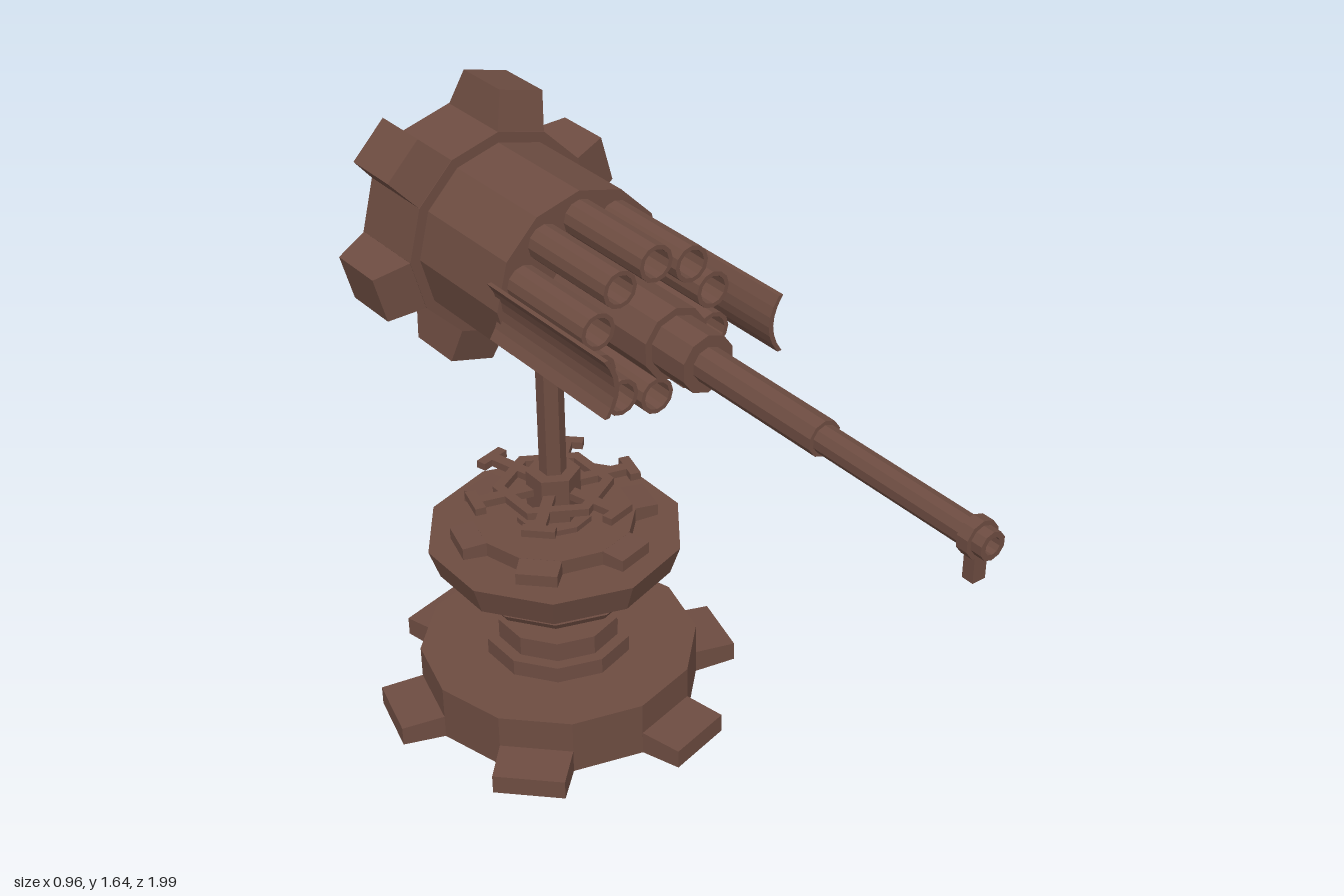
import * as THREE from 'three';

const material = new THREE.MeshStandardMaterial({ color: 0x6d4c41, flatShading: true });
const PIVOT_Z = -0.513; // pedestal axis
const AXIS_Y = 1.285;   // gun axis

function add(parent, name, geometry) {
  const mesh = new THREE.Mesh(geometry, material);
  mesh.name = name;
  parent.add(mesh);
  return mesh;
}

// Faceted solid of revolution about y, from [radius, height] pairs
function turned(parent, name, sides, profile) {
  const points = profile.map(([r, y]) => new THREE.Vector2(r, y));
  return add(parent, name, new THREE.LatheGeometry(points, sides));
}

function drum(parent, name, sides, radius, y0, y1) {
  return turned(parent, name, sides, [[0, y0], [radius, y0], [radius, y1], [0, y1]]);
}

// Pipe that is open at its top end down to a given depth
function pipe(parent, name, sides, outer, inner, y0, y1, depth) {
  return turned(parent, name, sides, [
    [0, y0], [outer, y0], [outer, y1], [inner, y1], [inner, y1 - depth], [0, y1 - depth]]);
}

// Six tapered teeth standing on every other face of a 12-sided wheel
function teeth(parent, name, radius, tip, y0, y1, inset, tipWidth, phase) {
  const root = radius * Math.cos(Math.PI / 12) - 0.005;
  const rootWidth = 2 * radius * Math.sin(Math.PI / 12);
  for (let k = 0; k < 6; k++) {
    const g = new THREE.BoxGeometry(1, 1, 1);
    const p = g.attributes.position;
    for (let i = 0; i < p.count; i++) {
      const outer = p.getX(i) > 0;
      const height = y1 - y0 - (outer ? 2 * inset : 0);
      p.setXYZ(i, outer ? tip : root,
        (y0 + y1) / 2 + p.getY(i) * height,
        p.getZ(i) * (outer ? tipWidth : rootWidth));
    }
    add(parent, name, g).rotation.y = -(phase + k * Math.PI / 3);
  }
}

function buildPedestal() {
  const group = new THREE.Group();
  group.name = 'pedestal';
  group.position.z = PIVOT_Z;

  // Toothed foot and stepped column
  drum(group, 'foot', 12, 0.37, 0, 0.155);
  teeth(group, 'footTooth', 0.37, 0.472, 0, 0.065, 0.006, 0.187, Math.PI / 12);
  drum(group, 'lowerStep', 10, 0.196, 0.155, 0.2);
  drum(group, 'upperStep', 10, 0.164, 0.2, 0.255);
  drum(group, 'neck', 10, 0.092, 0.255, 0.315);

  // Flange and bowl
  turned(group, 'flange', 10, [
    [0, 0.31], [0.16, 0.31], [0.21, 0.34], [0.223, 0.36], [0, 0.365]]);
  turned(group, 'bowl', 10, [
    [0, 0.355], [0.148, 0.355], [0.19, 0.43], [0.31, 0.43], [0.337, 0.51], [0, 0.51]]);

  // Toothed plate on the bowl
  drum(group, 'plate', 12, 0.21, 0.51, 0.55);
  teeth(group, 'plateTooth', 0.21, 0.266, 0.51, 0.55, 0.004, 0.106, Math.PI / 12);
  drum(group, 'plateRing', 10, 0.1, 0.55, 0.565);

  // Hexagonal collar and post
  drum(group, 'collar', 6, 0.07, 0.555, 0.69);
  drum(group, 'post', 6, 0.035, 0.69, 1.1);

  // Open spoked wheel around the collar
  turned(group, 'spokedRing', 6, [
    [0.125, 0.63], [0.155, 0.63], [0.155, 0.65], [0.125, 0.65], [0.125, 0.63]]);
  for (let k = 0; k < 6; k++) {
    const spoke = new THREE.Group();
    spoke.name = 'spoke';
    spoke.rotation.y = -(Math.PI / 12 + k * Math.PI / 3);
    add(spoke, 'spokeBar', new THREE.BoxGeometry(0.17, 0.02, 0.03)).position.set(0.125, 0.64, 0);
    add(spoke, 'spokeTip', new THREE.BoxGeometry(0.028, 0.02, 0.085)).position.set(0.209, 0.64, 0);
    group.add(spoke);
  }
  return group;
}

// Built along y, then laid down so that its axis points forward
function buildGun() {
  const group = new THREE.Group();
  group.name = 'gun';
  group.position.y = AXIS_Y;
  group.rotation.x = Math.PI / 2;

  // Rear toothed wheel and main drum
  drum(group, 'rearWheel', 12, 0.265, -0.907, -0.692);
  teeth(group, 'rearTooth', 0.265, 0.35, -0.907, -0.692, 0.03, 0.126, -Math.PI / 12);
  drum(group, 'mainDrum', 12, 0.238, -0.7, -0.362);

  // Ring of ten open tubes
  for (let k = 0; k < 10; k++) {
    const a = Math.PI / 2 + k * Math.PI / 5;
    const tube = pipe(group, 'tube', 12, 0.046, 0.035, -0.37, -0.072, 0.2);
    tube.position.set(0.17 * Math.cos(a), 0, 0.17 * Math.sin(a));
  }

  // Stepped barrel with muzzle ring
  drum(group, 'barrelHousing', 10, 0.09, -0.37, 0);
  drum(group, 'barrelCollar', 10, 0.072, 0, 0.115);
  drum(group, 'barrelSleeve', 10, 0.043, 0.115, 0.505);
  pipe(group, 'barrel', 10, 0.033, 0.02, 0.5, 1, 0.12);
  turned(group, 'muzzleRing', 10, [[0.03, 0.942], [0.044, 0.942], [0.044, 0.972], [0.03, 0.972]]);
  return group;
}

// Curved guard plates, one on each side of the tubes
function buildGuards() {
  const group = new THREE.Group();
  group.name = 'guards';
  const shape = new THREE.Shape();
  shape.moveTo(0.238, -0.072);
  shape.quadraticCurveTo(0.182, 0, 0.238, 0.072);
  shape.lineTo(0.25, 0.072);
  shape.quadraticCurveTo(0.196, 0, 0.25, -0.072);
  const geometry = new THREE.ExtrudeGeometry(shape, { depth: 0.45, bevelEnabled: false, curveSegments: 6 });
  for (const turn of [0, Math.PI]) {
    const plate = add(group, turn ? 'rightGuard' : 'leftGuard', geometry);
    plate.position.set(0, AXIS_Y, -0.38);
    plate.rotation.z = turn;
  }
  return group;
}

export function createModel() {
  const model = new THREE.Group();
  model.name = 'mountedGun';
  model.add(buildPedestal(), buildGun(), buildGuards());
  // Small peg under the muzzle
  add(model, 'muzzlePeg', new THREE.BoxGeometry(0.034, 0.07, 0.03)).position.set(0, 1.222, 0.957);
  return model;
}
